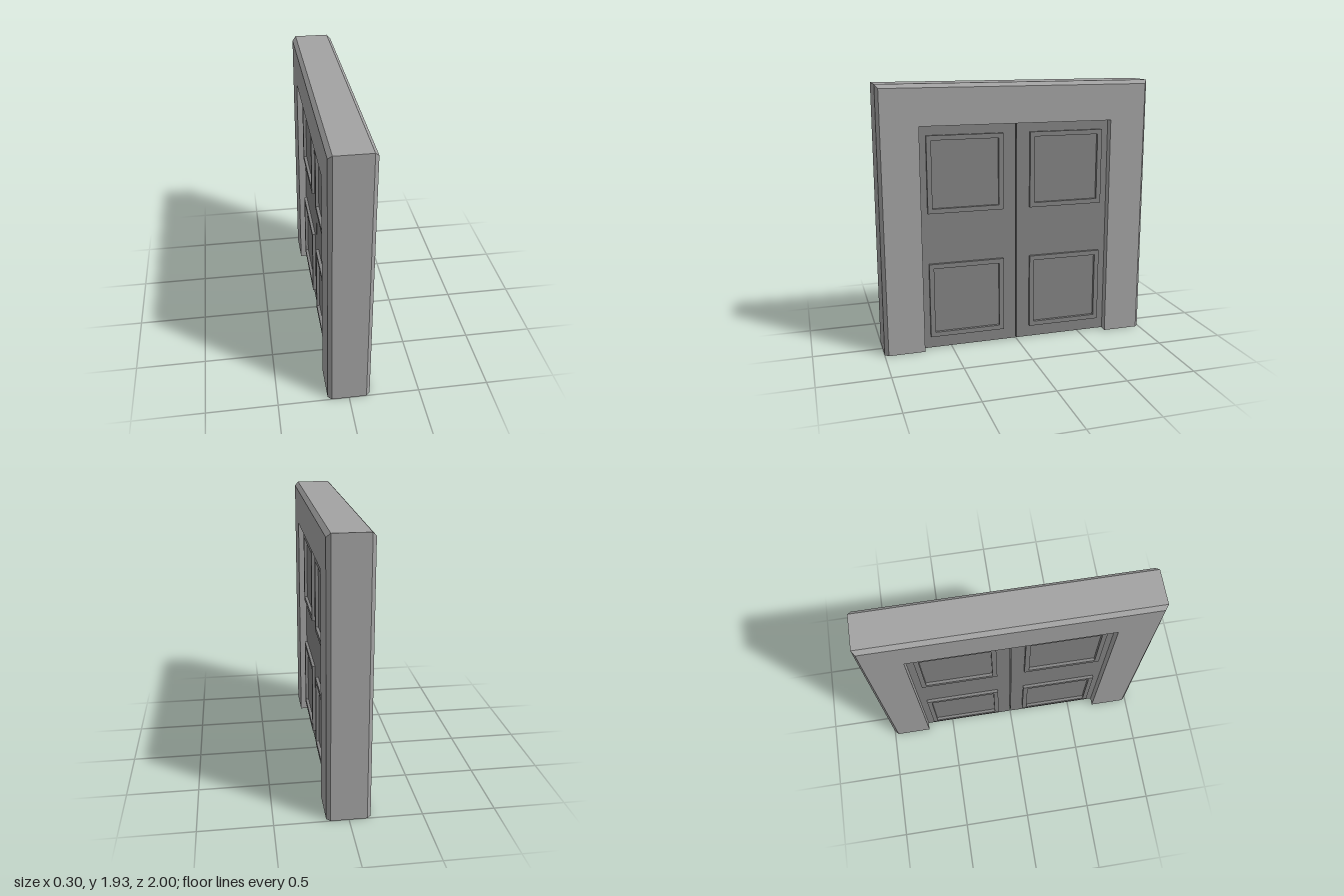
import * as THREE from 'three';

const stone = new THREE.MeshStandardMaterial({ color: 0xa3a3a3, flatShading: true });
const doorPaint = new THREE.MeshStandardMaterial({ color: 0x848484, flatShading: true });

const H = 1.93, OPEN_W = 0.708, OPEN_H = 1.643; // overall height, half-width and height of the opening
const FRAME_X = 0.15, DOOR_X = 0.094;           // half thicknesses
const BEVEL = 0.027, TAPER = 0.006;             // chamfer, and lean of the ends at the top
const GAP = 0.004, RELIEF = 0.022;

function addMesh(parent, name, geometry, material) {
  const mesh = new THREE.Mesh(geometry, material);
  mesh.name = name;
  parent.add(mesh);
  return mesh;
}

// Surround: an arch-shaped extrusion whose outer edges are chamfered on both faces
function surroundGeometry() {
  const top = 1 - TAPER;
  const outline = [[-1, 0], [-OPEN_W, 0], [-OPEN_W, OPEN_H], [OPEN_W, OPEN_H], [OPEN_W, 0], [1, 0], [top, H], [-top, H]];
  const shape = new THREE.Shape(outline.map(([u, v]) => new THREE.Vector2(u, v)));
  const geometry = new THREE.ExtrudeGeometry(shape, { depth: 3, steps: 3, bevelEnabled: false });
  const layers = [-FRAME_X, -FRAME_X + BEVEL, FRAME_X - BEVEL, FRAME_X];
  const p = geometry.attributes.position;
  for (let i = 0; i < p.count; i++) {
    const layer = Math.round(p.getZ(i));
    if (layer === 0 || layer === 3) {
      p.setX(i, THREE.MathUtils.clamp(p.getX(i), -1 + BEVEL, 1 - BEVEL));
      p.setY(i, Math.min(p.getY(i), H - BEVEL));
    }
    p.setZ(i, layers[layer]);
  }
  geometry.computeVertexNormals();
  return geometry.rotateY(Math.PI / 2);
}

// Raised rectangular moulding, centred on its own origin and facing +x
function mouldingGeometry(w, h, border) {
  const rect = (path, a, b) => path.moveTo(-a, -b).lineTo(a, -b).lineTo(a, b).lineTo(-a, b).closePath();
  const shape = new THREE.Shape();
  rect(shape, w / 2, h / 2);
  const hole = new THREE.Path();
  rect(hole, w / 2 - border, h / 2 - border);
  shape.holes.push(hole);
  return new THREE.ExtrudeGeometry(shape, { depth: RELIEF, bevelEnabled: false }).rotateY(Math.PI / 2);
}

export function createModel() {
  const model = new THREE.Group();
  model.name = 'doubleDoor';
  addMesh(model, 'surround', surroundGeometry(), stone);

  // Two door leaves, each with two mouldings on both faces
  const leafW = OPEN_W - GAP, leafH = OPEN_H - GAP;
  const leafGeometry = new THREE.BoxGeometry(DOOR_X * 2, leafH, leafW);
  const moulding = mouldingGeometry(0.555, 0.554, 0.034);
  for (const side of [1, -1]) {
    const door = new THREE.Group();
    door.name = side > 0 ? 'frontDoor' : 'backDoor';
    addMesh(door, 'leaf', leafGeometry, doorPaint).position.set(0, GAP + leafH / 2, side * (GAP + leafW / 2));
    for (const face of [1, -1]) {
      for (const [name, y] of [['lowerMoulding', 0.37], ['upperMoulding', 1.297]]) {
        const m = addMesh(door, name, moulding, doorPaint);
        m.position.set(face * DOOR_X, y, side * 0.378);
        if (face < 0) m.rotation.y = Math.PI;
      }
    }
    model.add(door);
  }
  return model;
}
